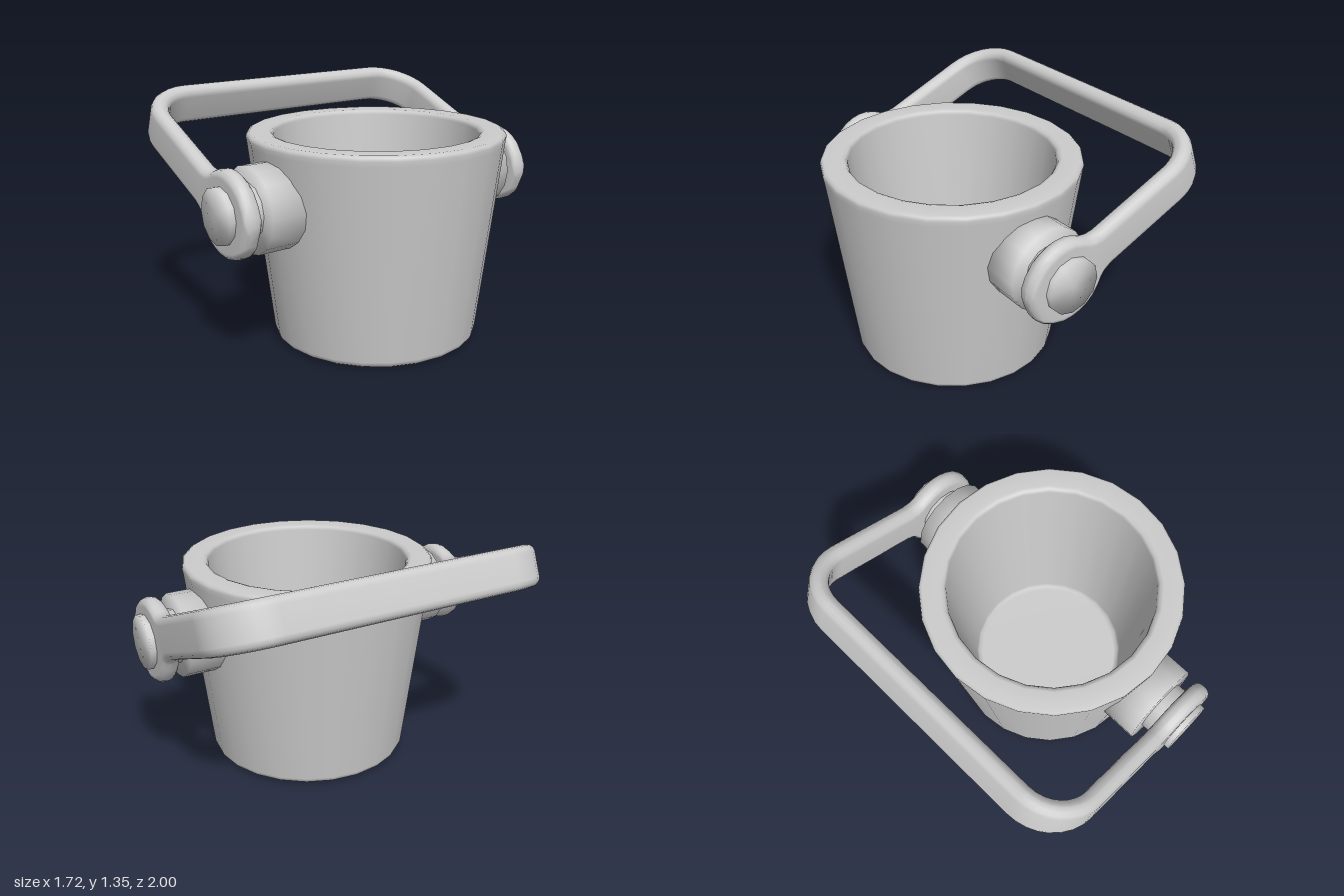
import * as THREE from 'three';
import { mergeVertices } from 'three/addons/utils/BufferGeometryUtils.js';

const material = new THREE.MeshStandardMaterial({ color: 0xcccccc });

function addMesh(parent, name, geometry) {
  const mesh = new THREE.Mesh(geometry, material);
  mesh.name = name;
  parent.add(mesh);
  return mesh;
}

// Cylinder along z whose normals blend over its edges
function softCylinder(radius, z0, z1, sides) {
  let g = new THREE.CylinderGeometry(radius, radius, Math.abs(z1 - z0), sides);
  g.rotateX(Math.PI / 2).translate(0, 0, (z0 + z1) / 2);
  g.deleteAttribute('normal');
  g.deleteAttribute('uv');
  g = mergeVertices(g);
  g.computeVertexNormals();
  return g;
}

// Rounded strap swept along a U, widening into a round eye at both ends
function handleGeometry() {
  const z = 0.92, bend = 0.25, reach = 1.02, halfWidth = 0.113;
  // [distance from pivot, half width, half thickness]
  const arm = [
    [-0.232, 0.05, 0.02], [-0.222, 0.085, 0.038], [-0.2, 0.125, 0.05], [-0.16, 0.168, 0.05],
    [-0.1, 0.21, 0.05], [-0.05, 0.226, 0.05], [0, 0.231, 0.05], [0.05, 0.226, 0.05],
    [0.1, 0.208, 0.05], [0.15, 0.172, 0.05], [0.18, 0.142, 0.05], [0.21, 0.124, 0.05],
    [0.26, halfWidth, 0.05], [0.5, halfWidth, 0.05],
  ];
  const half = arm.map(([u, w, t]) => ({ u, z, nu: 0, nz: 1, w, t }));
  for (let i = 0; i <= 8; i++) {
    const a = (i / 8) * Math.PI / 2, nu = Math.sin(a), nz = Math.cos(a);
    half.push({ u: reach - bend + bend * nu, z: z - bend + bend * nz, nu, nz, w: halfWidth, t: 0.05 });
  }
  const stations = [...half, ...half.map(s => ({ ...s, z: -s.z, nz: -s.nz })).reverse()];

  // Rounded-rectangle cross-sections, four points per corner
  const positions = [], index = [], count = 16;
  for (const s of stations) {
    const r = Math.min(0.045, s.t, s.w);
    for (let j = 0; j < count; j++) {
      const corner = Math.floor(j / 4);
      const a = (corner + (j % 4) / 3) * Math.PI / 2;
      const sn = corner === 0 || corner === 3 ? 1 : -1, sv = corner < 2 ? 1 : -1;
      const n = sn * (s.t - r) + r * Math.cos(a);
      const v = sv * (s.w - r) + r * Math.sin(a);
      positions.push(s.u + n * s.nu, v, s.z + n * s.nz);
    }
  }
  for (let i = 0; i < stations.length - 1; i++) {
    for (let j = 0; j < count; j++) {
      const a = i * count + j, c = i * count + (j + 1) % count;
      index.push(a, a + count, c, c, a + count, c + count);
    }
  }
  // End caps
  const last = (stations.length - 1) * count;
  for (let j = 1; j < count - 1; j++) {
    index.push(0, j, j + 1, last, last + j + 1, last + j);
  }
  const g = new THREE.BufferGeometry();
  g.setAttribute('position', new THREE.Float32BufferAttribute(positions, 3));
  g.setIndex(index);
  g.computeVertexNormals();
  return g;
}

export function createModel() {
  const model = new THREE.Group();
  model.name = 'bucket';
  const centreX = 0.16, pivotY = 0.843;

  // Tapered vessel with a thick softened rim
  const profile = [
    [0, 0], [0.525, 0], [0.55, 0.006], [0.566, 0.018], [0.574, 0.04],
    [0.7, 1.11], [0.705, 1.138], [0.7, 1.155], [0.685, 1.165],
    [0.59, 1.165], [0.571, 1.158], [0.56, 1.14],
    [0.452, 0.14], [0.443, 0.11], [0.42, 0.1], [0, 0.1],
  ].map(([r, y]) => new THREE.Vector2(r, y));
  addMesh(model, 'vessel', new THREE.LatheGeometry(profile, 24)).position.x = centreX;

  // Pivots on the front and back
  for (const [side, s] of [['front', 1], ['back', -1]]) {
    const pivot = new THREE.Group();
    pivot.name = side + 'Pivot';
    pivot.position.set(centreX, pivotY, 0);
    addMesh(pivot, side + 'Boss', softCylinder(0.231, s * 0.6, s * 0.815, 16));
    addMesh(pivot, side + 'Pin', softCylinder(0.149, s * 0.7, s, 12));
    model.add(pivot);
  }

  // Swinging handle, tilted up to one side
  const handle = addMesh(model, 'handle', handleGeometry());
  handle.position.set(centreX, pivotY, 0);
  handle.rotation.z = THREE.MathUtils.degToRad(157);
  return model;
}
